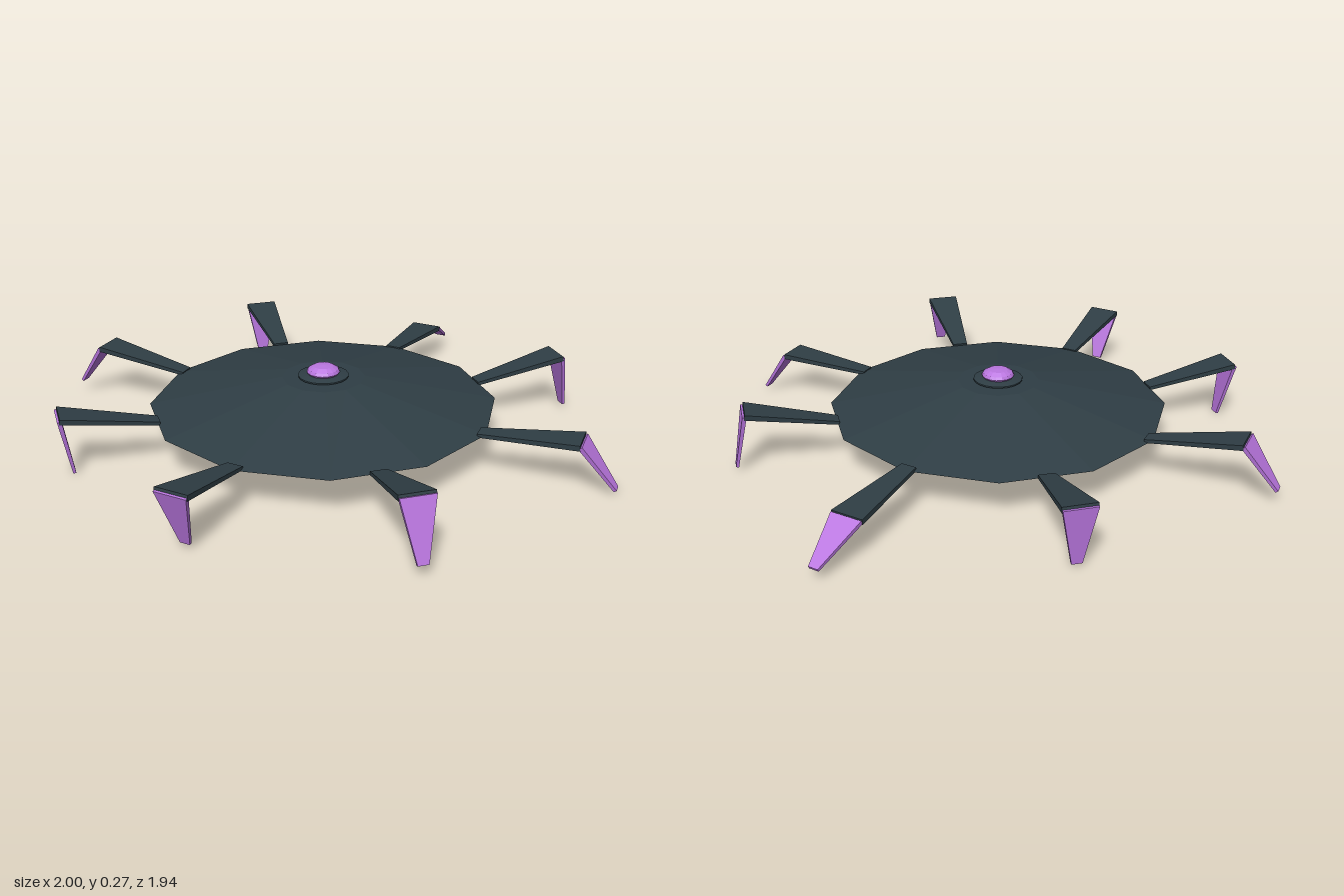
import * as THREE from 'three';
import { ConvexGeometry } from 'three/addons/geometries/ConvexGeometry.js';

const darkShell = new THREE.MeshStandardMaterial({ color: 0x2f3e45 });
darkShell.name = 'dark slate';
const purple = new THREE.MeshStandardMaterial({ color: 0xba76e0 });
purple.name = 'purple';

const CENTRE_Z = 0.08;
const V = (x, y, z) => new THREE.Vector3(x, y, z);

// Faceted mesh: every face keeps its own normal
function facet(name, geometry, material) {
  const g = geometry.index ? geometry.toNonIndexed() : geometry;
  g.computeVertexNormals();
  const mesh = new THREE.Mesh(g, material);
  mesh.name = name;
  return mesh;
}

// Flat bar from a to b whose half-width runs from wa to wb along 'side'
function taperedPlate(a, b, wa, wb, ta, tb, side) {
  const up = b.clone().sub(a).cross(side).normalize();
  const points = [];
  for (const [p, w, t] of [[a, wa, ta], [b, wb, tb]])
    for (const s of [-1, 1])
      for (const u of [-1, 1])
        points.push(p.clone().addScaledVector(side, s * w).addScaledVector(up, u * t));
  return new ConvexGeometry(points);
}

const lathe = (pairs, n) =>
  new THREE.LatheGeometry(pairs.map(([r, y]) => new THREE.Vector2(r, y)), n);

// Hip angle in degrees from +x towards +z, then knee and foot positions
const LEGS = [
  ['frontLeg', 90, V(0, 0.207, 0.965), V(0, 0.025, 0.908)],
  ['backLeg', 270, V(0, 0.13, -0.805), V(0, 0.046, -0.968)],
  ['leftLeg', 0, V(0.885, 0.17, 0.043), V(0.995, 0.02, 0.018)],
  ['rightLeg', 180, V(-0.885, 0.203, 0.11), V(-0.995, 0.052, 0.125)],
  ['frontLeftLeg', 45, V(0.617, 0.23, 0.7), V(0.655, 0.045, 0.738)],
  ['frontRightLeg', 135, V(-0.617, 0.207, 0.703), V(-0.592, 0.008, 0.68)],
  ['backLeftLeg', 315, V(0.617, 0.215, -0.535), V(0.643, 0.02, -0.562)],
  ['backRightLeg', 225, V(-0.617, 0.207, -0.537), V(-0.605, 0.015, -0.525)],
];

export function createModel() {
  const model = new THREE.Group();
  model.name = 'discWalker';

  // Twelve-sided shallow body
  const body = facet('body', new THREE.CylinderGeometry(0.14, 0.585, 0.09, 12), darkShell);
  body.position.set(0, 0.188, CENTRE_Z);
  model.add(body);

  // Collar and dome on top
  const collar = facet('collar', lathe(
    [[0.07, 0.23], [0.085, 0.236], [0.085, 0.241], [0.06, 0.246], [0, 0.246]], 20), darkShell);
  const dome = facet('dome', lathe(
    [[0.05, 0.243], [0.056, 0.252], [0.051, 0.262], [0.034, 0.272], [0, 0.275]], 16), purple);
  collar.position.z = dome.position.z = CENTRE_Z;
  model.add(collar, dome);

  // Eight legs: a widening thigh and a pointed shin
  for (const [name, degrees, knee, foot] of LEGS) {
    const a = THREE.MathUtils.degToRad(degrees);
    const hip = V(0.56 * Math.cos(a), 0.146, 0.56 * Math.sin(a) + CENTRE_Z);
    const side = V(knee.z - hip.z, 0, hip.x - knee.x).normalize();
    const leg = new THREE.Group();
    leg.name = name;
    leg.add(
      facet('thigh', taperedPlate(hip, knee, 0.027, 0.056, 0.006, 0.009, side), darkShell),
      facet('shin', taperedPlate(knee, foot, 0.055, 0.017, 0.007, 0.005, side), purple),
    );
    model.add(leg);
  }
  return model;
}
